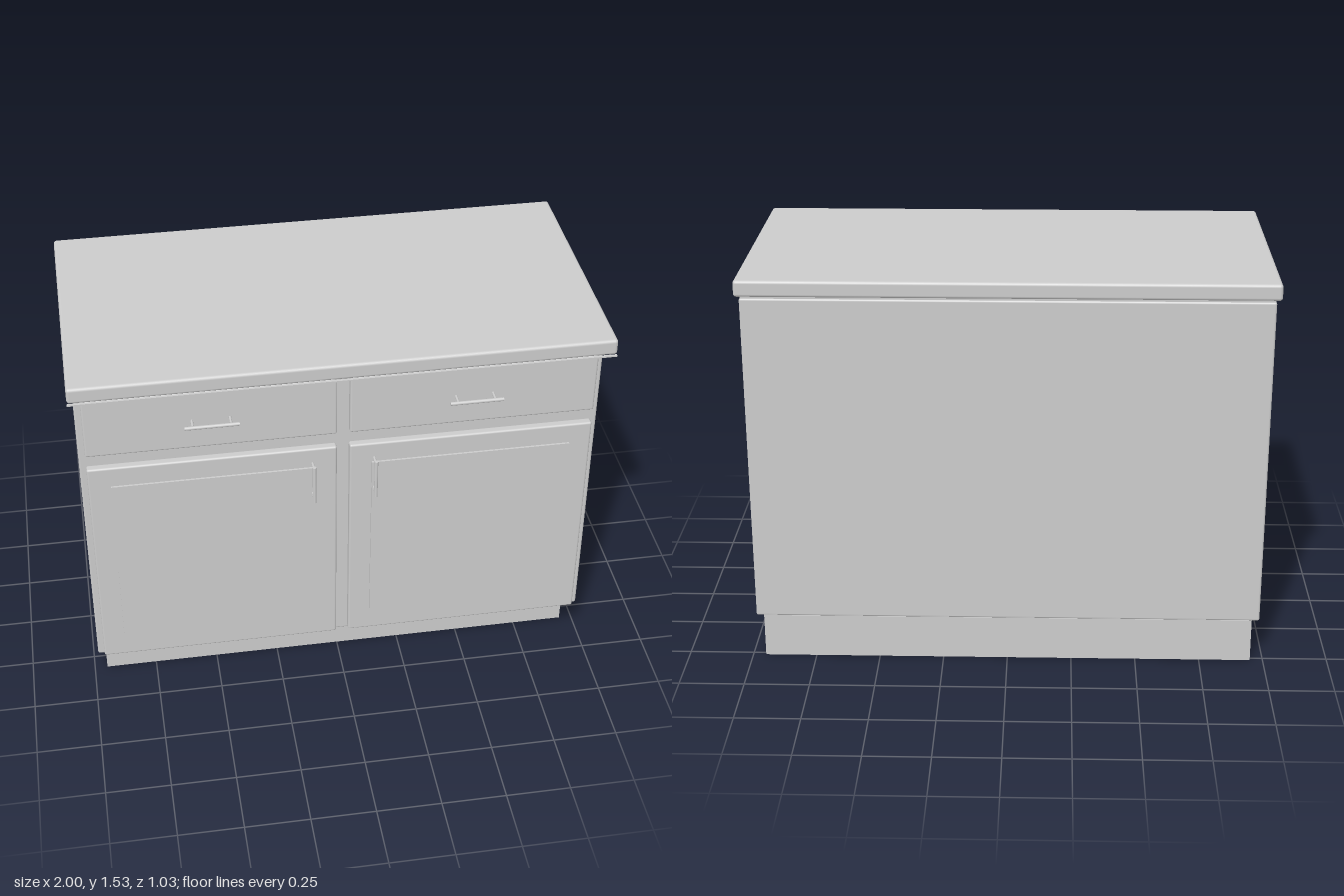
import * as THREE from 'three';
import { RoundedBoxGeometry } from 'three/addons/geometries/RoundedBoxGeometry.js';

export function createModel() {
  const cabinet = new THREE.Group();
  cabinet.name = 'cabinet';
  const grey = new THREE.MeshStandardMaterial({ color: 0xcccccc });
  grey.name = 'light grey';

  // Box given by its extents; a radius softens the edges
  function block(parent, name, [x0, x1], [y0, y1], [z0, z1], radius = 0) {
    const size = [x1 - x0, y1 - y0, z1 - z0];
    const geometry = radius
      ? new RoundedBoxGeometry(...size, 3, radius)
      : new THREE.BoxGeometry(...size);
    const mesh = new THREE.Mesh(geometry, grey);
    mesh.name = name;
    mesh.position.set((x0 + x1) / 2, (y0 + y1) / 2, (z0 + z1) / 2);
    parent.add(mesh);
  }

  // Bar pull along local x, standing out from its mounting face on two posts
  function handle(name, length, postGap, standoff) {
    const group = new THREE.Group();
    group.name = name;
    const bar = new THREE.Mesh(new THREE.CylinderGeometry(0.007, 0.007, length, 16), grey);
    bar.name = 'handleBar';
    bar.rotation.z = Math.PI / 2;
    bar.position.z = standoff;
    group.add(bar);
    for (const side of [-1, 1]) {
      const post = new THREE.Mesh(new THREE.CylinderGeometry(0.005, 0.005, standoff, 12), grey);
      post.name = 'handlePost';
      post.rotation.x = Math.PI / 2;
      post.position.set(side * postGap / 2, 0, standoff / 2);
      group.add(post);
    }
    return group;
  }

  // Plinth, body and worktop with a thin drip strip below its front edge
  block(cabinet, 'plinth', [-0.95, 0.95], [0, 0.174], [-0.515, 0.317]);
  block(cabinet, 'body', [-0.98, 0.98], [0.172, 1.468], [-0.515, 0.417], 0.008);
  block(cabinet, 'worktopCore', [-0.975, 0.975], [1.46, 1.48], [-0.51, 0.412]);
  block(cabinet, 'worktop', [-1, 1], [1.472, 1.535], [-0.515, 0.517], 0.012);
  block(cabinet, 'dripStrip', [-1, 1], [1.464, 1.469], [0.507, 0.517]);

  // Drawer and door on each side of the centre stile
  for (const side of [-1, 1]) {
    const span = (a, b) => (side > 0 ? [a, b] : [-b, -a]);
    const label = side > 0 ? 'left' : 'right';

    const drawer = new THREE.Group();
    drawer.name = label + 'Drawer';
    block(drawer, 'drawerFront', span(0.024, 0.955), [1.18, 1.43], [0.415, 0.449], 0.008);
    const drawerHandle = handle('drawerHandle', 0.2, 0.14, 0.046);
    drawerHandle.position.set(side * 0.49, 1.304, 0.449);
    drawer.add(drawerHandle);

    const door = new THREE.Group();
    door.name = label + 'Door';
    block(door, 'doorFront', span(0.024, 0.955), [0.188, 1.12], [0.415, 0.449], 0.008);
    block(door, 'doorPanel', span(0.108, 0.871), [0.271, 1.037], [0.44, 0.457]);
    const doorHandle = handle('doorHandle', 0.165, 0.135, 0.047);
    doorHandle.rotation.z = Math.PI / 2;
    doorHandle.position.set(side * 0.117, 0.987, 0.449);
    door.add(doorHandle);

    cabinet.add(drawer, door);
  }
  return cabinet;
}
